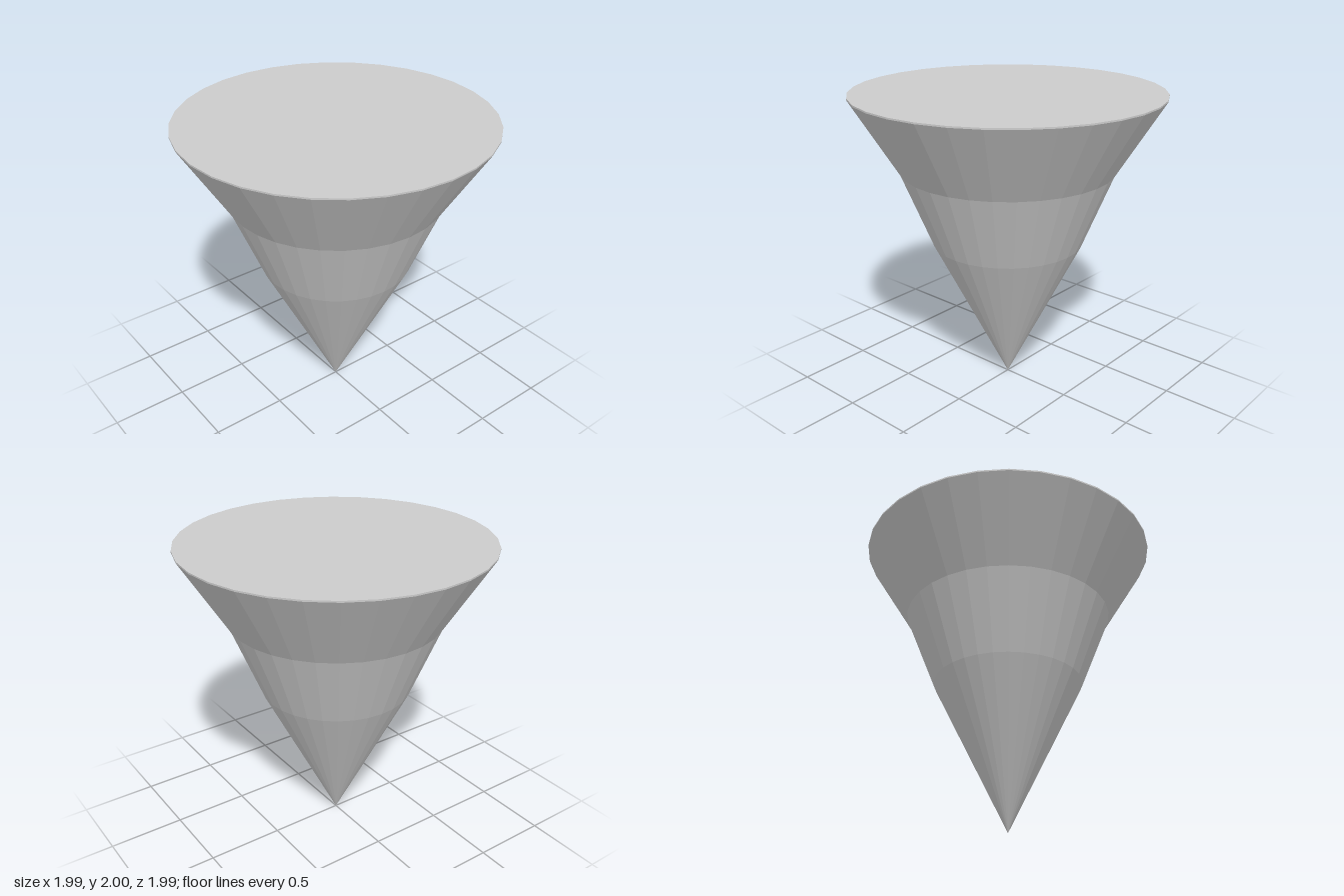
import * as THREE from 'three';

export function createModel() {
  const group = new THREE.Group();
  const material = new THREE.MeshStandardMaterial({ color: 0xcccccc, flatShading: true });

  // Flared cone with three slopes, a thin rim and a closed flat top
  const profile = [
    [0, 0], [0.497, 1.003], [0.696, 1.5], [0.995, 1.99], [0.995, 2], [0, 2],
  ].map(([r, y]) => new THREE.Vector2(r, y));
  const cone = new THREE.Mesh(new THREE.LatheGeometry(profile, 32), material);
  cone.name = 'flaredCone';
  group.add(cone);

  return group;
}
